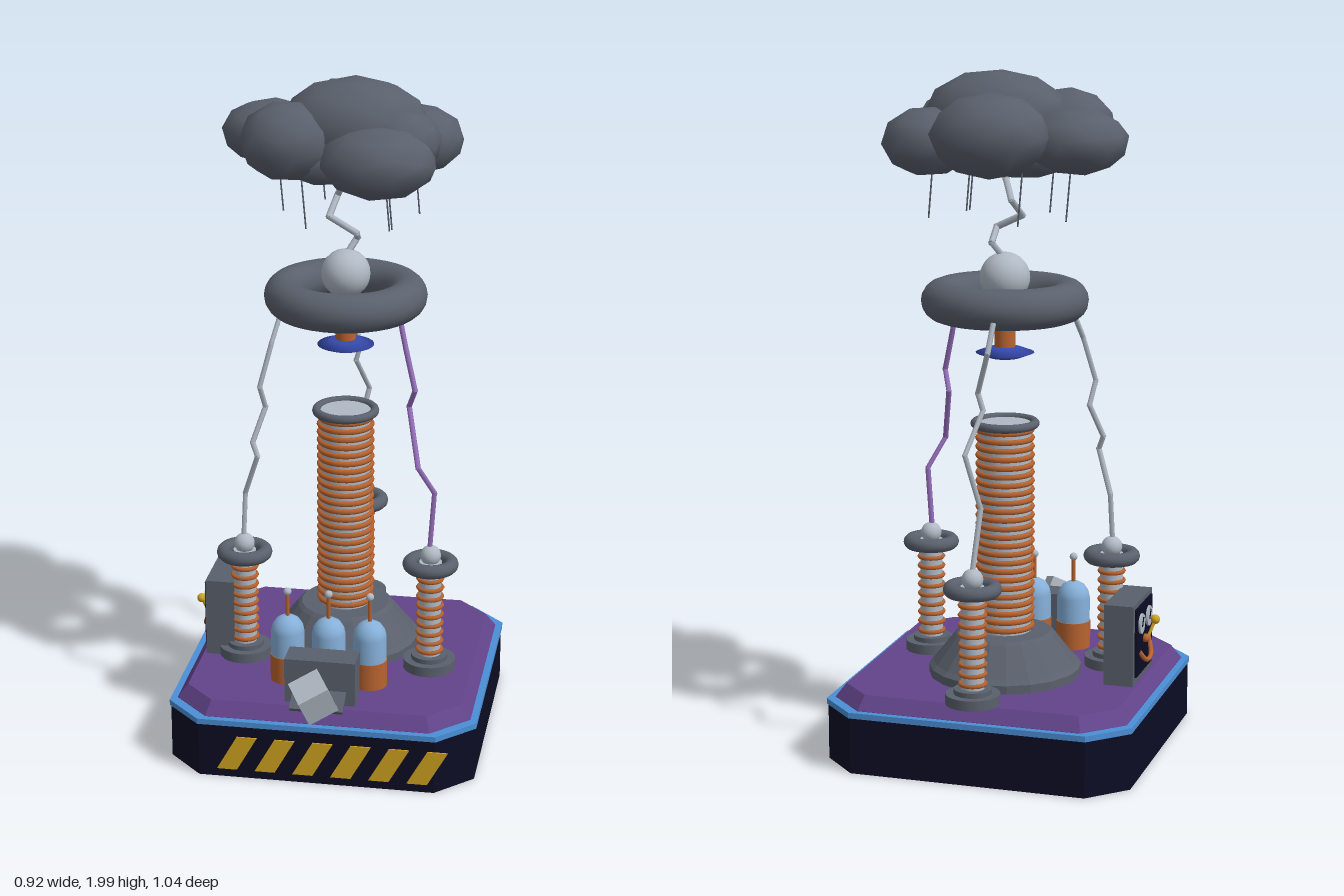
import * as THREE from 'three';
import { mergeVertices } from 'three/addons/utils/BufferGeometryUtils.js';

const mat = (name, color) => {
  const m = new THREE.MeshStandardMaterial({ color });
  m.name = name;
  return m;
};

export function createModel() {
  const navy = mat('navy', 0x0c0c24);
  const trim = mat('trim blue', 0x4a8fd6);
  const purple = mat('purple', 0x62438a);
  const grey = mat('dark grey', 0x5a606c);
  const light = mat('light steel', 0xb0b9c4);
  const copper = mat('copper', 0xb8632f);
  const glass = mat('glass blue', 0x86b0da);
  const yellow = mat('yellow', 0xd0a41e);
  const lens = mat('lens blue', 0x3549ac);
  const mauve = mat('mauve', 0x9a72c0);

  const root = new THREE.Group();
  const add = (name, geo, material, x = 0, y = 0, z = 0, parent = root) => {
    const m = new THREE.Mesh(geo, material);
    m.name = name;
    m.position.set(x, y, z);
    parent.add(m);
    return m;
  };
  const group = (name, x = 0, y = 0, z = 0) => {
    const g = new THREE.Group();
    g.name = name;
    g.position.set(x, y, z);
    root.add(g);
    return g;
  };
  const cyl = (r, h, n = 24) => new THREE.CylinderGeometry(r, r, h, n);
  const ring = (R, r, n = 32, k = 12) => new THREE.TorusGeometry(R, r, k, n).rotateX(Math.PI / 2);
  const ball = (r) => new THREE.SphereGeometry(r, 20, 14);
  const lathe = (pts, n = 24) => new THREE.LatheGeometry(pts.map((p) => new THREE.Vector2(...p)), n);

  // Thin rods joining a run of points
  const rods = (name, pts, r, material) => {
    const g = group(name);
    const v = pts.map((p) => new THREE.Vector3(...p));
    for (let i = 0; i + 1 < v.length; i++) {
      const d = v[i + 1].clone().sub(v[i]);
      const m = add(name + 'Segment', cyl(r, d.length() + r, 6), material, 0, 0, 0, g);
      m.position.copy(v[i]).addScaledVector(d, 0.5);
      m.quaternion.setFromUnitVectors(new THREE.Vector3(0, 1, 0), d.normalize());
    }
  };

  // Chamfered square plinth
  const octagon = (h, c) => new THREE.Shape([
    [h, -h + c], [h, h - c], [h - c, h], [-h + c, h],
    [-h, h - c], [-h, -h + c], [-h + c, -h], [h - c, -h],
  ].map((p) => new THREE.Vector2(...p)));
  const slab = (h, c, depth, bevel) => new THREE.ExtrudeGeometry(octagon(h, c), {
    depth, bevelEnabled: !!bevel, bevelSize: bevel, bevelThickness: 0.04, bevelSegments: 1,
  }).rotateX(-Math.PI / 2);
  const cz = -0.04;
  add('plinth', slab(0.456, 0.106, 0.168, 0), navy, 0, 0, cz);
  add('plinthTrim', slab(0.46, 0.107, 0.017, 0), trim, 0, 0.167, cz);
  add('deck', slab(0.41, 0.09, 0.05, 0.03), purple, 0, 0.135, cz);

  // Hazard stripes
  const stripe = new THREE.Shape([[0, 0], [0.06, 0], [0.12, 0.107], [0.06, 0.107]].map((p) => new THREE.Vector2(...p)));
  const stripeGeo = new THREE.ExtrudeGeometry(stripe, { depth: 0.005, bevelEnabled: false });
  for (let i = 0; i < 6; i++) add('hazardStripe', stripeGeo, yellow, -0.295 + i * 0.113, 0.026, 0.4155);

  // Main coil
  const coil = group('mainCoil', 0, 0, -0.115);
  const foot = lathe([[0.225, 0.22], [0.225, 0.25], [0.212, 0.262], [0.147, 0.345], [0.135, 0.355], [0, 0.355]], 20).toNonIndexed();
  foot.computeVertexNormals();
  add('coilFoot', foot, grey, 0, 0, 0, coil);
  add('coilCore', cyl(0.077, 0.63), light, 0, 0.665, 0, coil);
  const winding = ring(0.079, 0.0085, 28, 6);
  for (let i = 0; i < 24; i++) add('coilWinding', winding, copper, 0, 0.37 + i * 0.0257, 0, coil);
  add('coilRim', ring(0.088, 0.013), grey, 0, 0.978, 0, coil);

  // Floating discharge head
  const head = group('dischargeHead', 0, 0, -0.115);
  add('headRing', ring(0.184, 0.058, 40, 18), grey, 0, 1.341, 0, head);
  add('headBall', ball(0.073), light, 0, 1.407, 0, head);
  add('headStem', cyl(0.03, 0.16), copper, 0, 1.285, 0, head);
  add('headLens', lathe([[0, 1.17], [0.045, 1.173], [0.085, 1.188], [0.045, 1.203], [0, 1.206]]), lens, 0, 0, 0, head);

  // Three small coil posts
  for (const [x, z] of [[-0.283, 0.04], [0.283, 0.04], [0, -0.427]]) {
    const post = group('coilPost', x, 0, z);
    add('postFoot', cyl(0.079, 0.03), grey, 0, 0.24, 0, post);
    add('postCollar', cyl(0.055, 0.015), grey, 0, 0.262, 0, post);
    add('postCore', cyl(0.034, 0.31), light, 0, 0.415, 0, post);
    for (let i = 0; i < 9; i++) add('postWinding', ring(0.036, 0.0065, 24, 6), copper, 0, 0.284 + i * 0.029, 0, post);
    add('postRing', ring(0.063, 0.021), grey, 0, 0.562, 0, post);
    add('postBall', ball(0.031), light, 0, 0.59, 0, post);
  }

  // Lightning
  rods('leftwardBolt', [[-0.18, 1.3, -0.03], [-0.2, 1.22, 0.01], [-0.232, 1.09, 0.035], [-0.22, 1.02, 0.01],
    [-0.252, 0.92, 0.05], [-0.236, 0.88, 0.06], [-0.28, 0.75, 0.03], [-0.285, 0.61, 0.04]], 0.008, light);
  rods('purpleBolt', [[0.175, 1.3, -0.03], [0.195, 1.22, -0.01], [0.228, 1.1, 0.02], [0.207, 1.04, -0.01],
    [0.247, 0.88, 0.075], [0.292, 0.79, 0.04], [0.28, 0.61, 0.04]], 0.008, mauve);
  rods('backBolt', [[-0.04, 1.31, -0.355], [-0.035, 1.235, -0.39], [0.01, 1.11, -0.34], [-0.005, 1.06, -0.34],
    [0.025, 0.945, -0.415], [-0.01, 0.785, -0.38], [0, 0.61, -0.427]], 0.008, light);
  rods('cloudBolt', [[0, 1.75, -0.1], [0, 1.69, -0.105], [-0.03, 1.635, -0.15], [-0.045, 1.585, -0.09],
    [0.04, 1.545, -0.065], [0.03, 1.51, -0.145], [0, 1.46, -0.115]], 0.01, light);

  // Row of capacitor bottles
  for (const x of [-0.124, 0, 0.124]) {
    const jar = group('jar', x, 0, 0.188);
    add('jarSleeve', cyl(0.052, 0.085), copper, 0, 0.265, 0, jar);
    add('jarGlass', lathe([[0.05, 0.3], [0.05, 0.38], [0.046, 0.4], [0.034, 0.418], [0.018, 0.428], [0, 0.431]]), glass, 0, 0, 0, jar);
    add('jarRod', cyl(0.006, 0.08, 8), copper, 0, 0.465, 0, jar);
    add('jarTip', ball(0.012), light, 0, 0.507, 0, jar);
  }

  // Front stand with tray and tumbling cube
  add('stand', new THREE.BoxGeometry(0.21, 0.14, 0.088), grey, 0, 0.292, 0.302);
  add('tray', new THREE.BoxGeometry(0.158, 0.01, 0.078), grey, 0, 0.25, 0.378).rotation.x = 0.42;
  add('cube', new THREE.BoxGeometry(0.095, 0.095, 0.095), light, 0, 0.3, 0.452).rotation.set(0.3, 0.5, 0.3);

  // Control cabinet with gauges on its outer side
  const cab = group('controlCabinet', 0, 0, -0.046);
  add('cabinet', new THREE.BoxGeometry(0.088, 0.245, 0.222), grey, -0.357, 0.344, 0, cab);
  add('panel', new THREE.BoxGeometry(0.008, 0.205, 0.185), navy, -0.403, 0.35, 0, cab);
  for (const z of [-0.045, 0.042]) {
    add('gauge', cyl(0.03, 0.008).rotateZ(Math.PI / 2), light, -0.409, 0.4, z, cab);
    add('gaugeNeedle', new THREE.BoxGeometry(0.004, 0.03, 0.006), navy, -0.413, 0.405, z, cab).rotation.x = 0.5;
  }
  add('leverKnob', ball(0.014), yellow, -0.425, 0.385, 0.058, cab);
  rods('lever', [[-0.407, 0.33, -0.01], [-0.425, 0.385, 0.012]], 0.005, yellow);
  const cable = new THREE.CatmullRomCurve3([[-0.405, 0.32, -0.06], [-0.42, 0.285, -0.025], [-0.42, 0.29, 0.03], [-0.405, 0.33, 0.06]]
    .map((p) => new THREE.Vector3(...p)));
  add('cable', new THREE.TubeGeometry(cable, 16, 0.007, 8), copper, 0, 0, 0, cab);
  add('knob', ball(0.013), copper, -0.412, 0.345, -0.005, cab);

  // Storm cloud: overlapping faceted puffs [centre, radii, turn]
  const cloud = group('cloud');
  const puffs = [
    [0.03, 1.865, -0.09, 0.22, 0.135, 0.17, 0.3],
    [-0.015, 1.83, -0.3, 0.175, 0.12, 0.15, 0.1],
    [-0.23, 1.81, -0.18, 0.15, 0.095, 0.14, 0.6],
    [0.2, 1.8, -0.2, 0.135, 0.1, 0.135, 1.1],
    [-0.15, 1.83, 0.01, 0.14, 0.115, 0.13, 0.8],
    [0.12, 1.79, 0.06, 0.17, 0.105, 0.14, 0.2],
    [-0.04, 1.77, -0.08, 0.18, 0.08, 0.17, 0.5],
    [0.17, 1.83, -0.04, 0.12, 0.1, 0.12, 0.9],
  ];
  for (const [x, y, z, a, b, c, turn] of puffs) {
    let g = new THREE.IcosahedronGeometry(1, 1).rotateY(turn * 2).rotateX(turn);
    g.deleteAttribute('normal');
    g.deleteAttribute('uv');
    g = mergeVertices(g.scale(a, b, c), 1e-4);
    g.computeVertexNormals();
    add('cloudPuff', g, grey, x, y, z, cloud);
  }

  // Falling rain
  for (const [x, z] of [[-0.2, -0.15], [-0.1, 0.03], [0.14, 0.015], [0.2, -0.18], [0.145, 0], [-0.1, -0.29]]) {
    rods('rain', [[x - 0.006, 1.74, z], [x + 0.008, 1.58, z]], 0.0025, grey);
  }
  return root;
}
